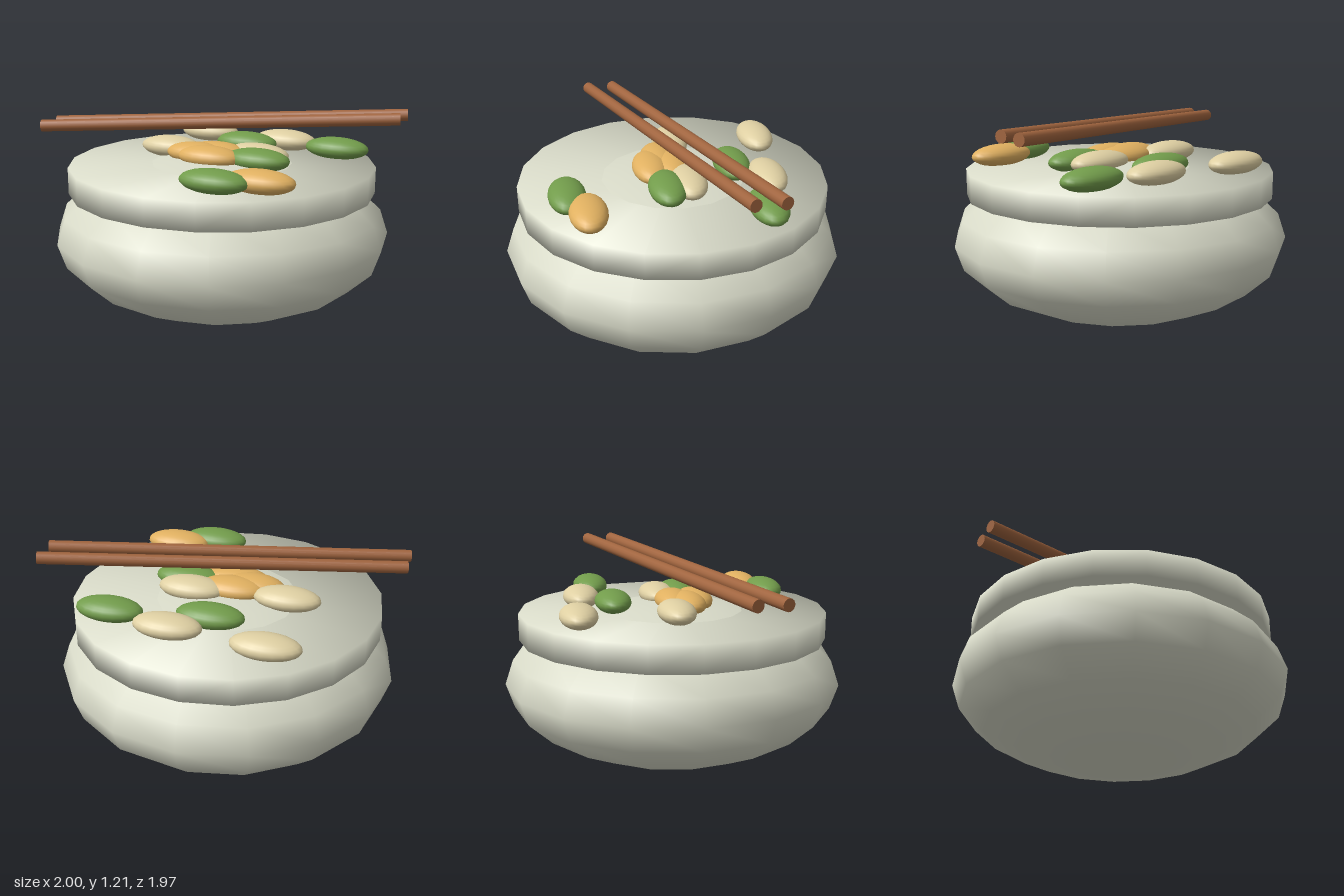
import * as THREE from 'three';

const paint = (name, color) => {
  const m = new THREE.MeshStandardMaterial({ color });
  m.name = name;
  return m;
};

export function createModel() {
  const model = new THREE.Group();
  model.name = 'bowlWithChopsticks';

  const stoneware = paint('stoneware', 0xd8dac8);
  const wood = paint('wood', 0xa0643e);
  const cream = paint('cream', 0xdecfa2);
  const green = paint('green', 0x729c4b);
  const orange = paint('orange', 0xe0b060);

  const add = (name, geometry, material, parent = model) => {
    const mesh = new THREE.Mesh(geometry, material);
    mesh.name = name;
    parent.add(mesh);
    return mesh;
  };

  // Squashed round bowl; its crown rises just above the rim disc
  const bowl = add('bowl', new THREE.SphereGeometry(1, 16, 10), stoneware);
  bowl.scale.set(0.986, 0.463, 0.986);
  bowl.position.y = 0.463;

  // Rim disc, shaded softly across its edges
  const rimRadius = 0.897;
  const rimGeometry = new THREE.CylinderGeometry(rimRadius, rimRadius, 0.155, 20);
  const { position, normal } = rimGeometry.attributes;
  const n = new THREE.Vector3();
  for (let i = 0; i < position.count; i++) {
    n.fromBufferAttribute(position, i);
    n.y = Math.sign(n.y) * rimRadius;
    n.normalize();
    normal.setXYZ(i, n.x, n.y, n.z);
  }
  add('rim', rimGeometry, stoneware).position.y = 0.8;

  // Beans scattered on top: [material, x, z]
  const beans = new THREE.Group();
  beans.name = 'beans';
  model.add(beans);
  const beanGeometry = new THREE.SphereGeometry(1, 20, 14).scale(0.197, 0.065, 0.106);
  const layout = [
    [cream, -0.37, -0.58], [cream, 0.19, -0.52], [cream, -0.36, -0.04], [cream, 0.2, -0.06],
    [green, 0, -0.35], [green, 0.56, -0.43], [green, 0.26, 0.07], [green, 0.26, 0.625],
    [orange, -0.125, 0.065], [orange, -0.02, 0.125], [orange, -0.03, 0], [orange, 0.48, 0.525],
  ];
  for (const [material, x, z] of layout) {
    add(`${material.name}Bean`, beanGeometry, material, beans).position.set(x, 0.932, z);
  }

  // Two parallel chopsticks resting above the bowl
  const up = new THREE.Vector3(0, 1, 0);
  for (const z of [-0.078, 0.078]) {
    const start = new THREE.Vector3(-0.989, 1.08, 0.322 + z);
    const end = new THREE.Vector3(0.989, 1.172, -0.322 + z);
    const axis = end.clone().sub(start);
    const stick = add('chopstick', new THREE.CylinderGeometry(0.035, 0.035, axis.length(), 16), wood);
    stick.position.copy(start).add(end).multiplyScalar(0.5);
    stick.quaternion.setFromUnitVectors(up, axis.normalize());
  }

  return model;
}
